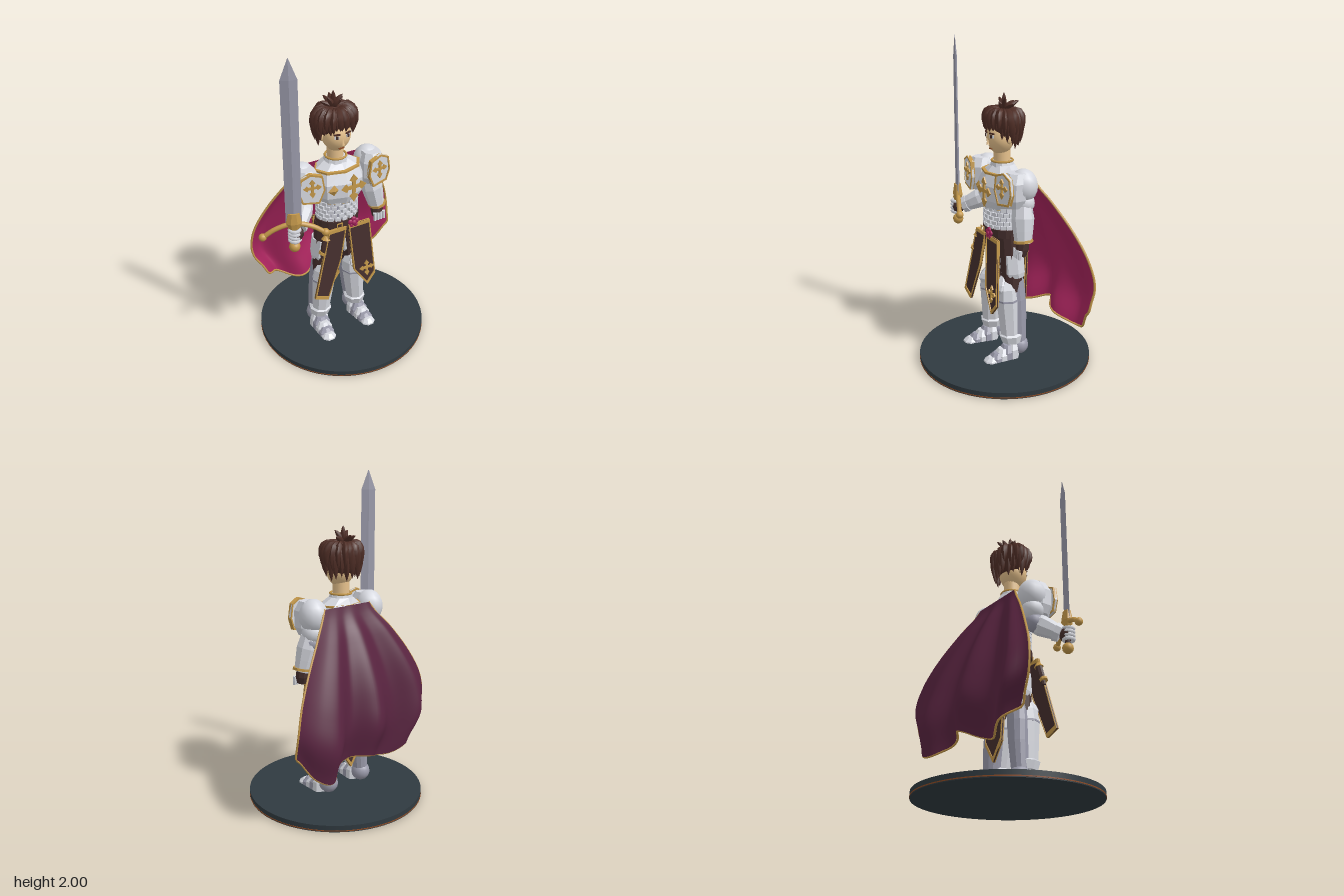
import * as THREE from 'three';

const mat = (name, color) => Object.assign(new THREE.MeshStandardMaterial({ color }), { name });
const M = {
  armour: mat('white armour', 0xd6d8df), steel: mat('grey steel', 0x9a9aaa), gold: mat('gold', 0xc4984a),
  leather: mat('dark leather', 0x452f2d), hair: mat('brown hair', 0x4e2d25), skin: mat('skin', 0xe6c18c),
  outer: mat('cape outside', 0x592440), lining: mat('crimson lining', 0xa6245c),
  slate: mat('slate base', 0x303a40), copper: mat('copper rim', 0x8a4a24),
};
const V = (x, y, z) => new THREE.Vector3(x, y, z);
const CX = -0.018; // body centre line

export function createModel() {
  const root = new THREE.Group();
  root.name = 'knight';
  const add = (name, geo, m, x = 0, y = 0, z = 0, parent = root) => {
    const mesh = new THREE.Mesh(geo, m);
    mesh.name = name;
    mesh.position.set(x, y, z);
    parent.add(mesh);
    return mesh;
  };
  const ball = (name, m, x, y, z, r, sx = 1, sy = 1, sz = 1, seg = 14) => {
    const b = add(name, new THREE.SphereGeometry(r, seg, Math.ceil(seg * 0.7)), m, x, y, z);
    b.scale.set(sx, sy, sz);
    return b;
  };
  // Faceted solid through rings [x, y, z, rx, rz], listed from bottom to top
  const loft = (rings, n = 8, turn = 0) => {
    const pos = [], idx = [];
    for (const [x, y, z, rx, rz] of rings) for (let i = 0; i < n; i++) {
      const a = ((i + turn) / n) * Math.PI * 2;
      pos.push(x + rx * Math.sin(a), y, z + rz * Math.cos(a));
    }
    const last = rings.length - 1;
    for (let j = 0; j < last; j++) for (let i = 0; i < n; i++) {
      const a = j * n + i, b = j * n + (i + 1) % n;
      idx.push(a, b, b + n, a, b + n, a + n);
    }
    for (let i = 1; i < n - 1; i++) idx.push(0, i + 1, i, last * n, last * n + i, last * n + i + 1);
    const g = new THREE.BufferGeometry();
    g.setAttribute('position', new THREE.Float32BufferAttribute(pos, 3));
    g.setIndex(idx);
    const flat = g.toNonIndexed();
    flat.computeVertexNormals();
    return flat;
  };
  // Limb segment from a to b with evenly spaced radii
  const limb = (name, m, a, b, radii, n = 8) => {
    const d = b.clone().sub(a), len = d.length();
    const mesh = add(name, loft(radii.map((r, i) => [0, (len * i) / (radii.length - 1), 0, r, r]), n, 0.5), m, a.x, a.y, a.z);
    mesh.quaternion.setFromUnitVectors(V(0, 1, 0), d.normalize());
  };
  const polygon = pts => new THREE.Shape(pts.map(p => new THREE.Vector2(...p)));
  const slab = (shape, depth) => new THREE.ExtrudeGeometry(shape, { depth, bevelEnabled: false });
  // Plate with a raised gold border
  const plate = (name, m, pts, z, depth, inset = 0.9, parent = root) => {
    add(name, slab(polygon(pts), depth), m, 0, 0, z, parent);
    const c = pts.reduce((s, p) => [s[0] + p[0] / pts.length, s[1] + p[1] / pts.length], [0, 0]);
    const rim = polygon(pts);
    rim.holes.push(new THREE.Path(pts.map(p => new THREE.Vector2(c[0] + (p[0] - c[0]) * inset, c[1] + (p[1] - c[1]) * inset))));
    add(name + 'Border', slab(rim, depth + 0.01), M.gold, 0, 0, z - 0.004, parent);
  };
  // Flared cross ornament
  const cross = (x, y, z, r, parent = root) => {
    const pts = [];
    for (let k = 0; k < 4; k++) for (const [s, t] of [[0.13, 0.13], [0.12, 0.45], [0.32, 0.58], [0, 1], [-0.32, 0.58], [-0.12, 0.45]]) {
      const a = (k * Math.PI) / 2, u = k === 2 ? t * 1.2 : t;
      pts.push([r * (s * Math.cos(a) - u * Math.sin(a)), r * (s * Math.sin(a) + u * Math.cos(a))]);
    }
    add('crossOrnament', slab(polygon(pts.reverse()), 0.009), M.gold, x, y, z, parent);
    ball('ornamentBoss', M.gold, x, y, z + 0.01, r * 0.22, 1, 1, 0.6, 8).removeFromParent();
  };
  // Tapered strand along a curve
  const lock = (pts, r) => {
    const curve = new THREE.CatmullRomCurve3(pts), n = 8, sides = 6;
    const g = new THREE.TubeGeometry(curve, n, r, sides), p = g.attributes.position, v = V();
    for (let i = 0; i < p.count; i++) {
      const t = Math.floor(i / (sides + 1)) / n, c = curve.getPointAt(t);
      v.fromBufferAttribute(p, i).sub(c).multiplyScalar(0.03 + 0.97 * Math.pow(Math.sin(Math.PI * Math.pow(t, 0.8)), 0.7)).add(c);
      p.setXYZ(i, v.x, v.y, v.z);
    }
    g.computeVertexNormals();
    add('hairLock', g, M.hair);
  };

  // Round base
  add('base', new THREE.CylinderGeometry(0.544, 0.544, 0.04, 72), M.slate, 0.018, 0.025, 0);
  add('baseRim', new THREE.CylinderGeometry(0.546, 0.546, 0.006, 72), M.copper, 0.018, 0.013, 0);

  // Legs and boots
  for (const s of [-1, 1]) {
    const lx = y => CX + s * (0.145 - y * 0.085);
    const ring = (y, z, rx, rz) => [lx(y), y, z, rx, rz];
    add('trouserLeg', loft([ring(0.48, -0.015, 0.06, 0.065), ring(0.85, -0.01, 0.072, 0.075)], 10), M.leather);
    add('thighPlate', loft([ring(0.57, -0.03, 0.07, 0.07), ring(0.6, -0.025, 0.078, 0.08), ring(0.72, -0.02, 0.075, 0.08)]), M.armour);
    add('calf', loft([ring(0.14, -0.045, 0.05, 0.05), ring(0.3, -0.045, 0.06, 0.058), ring(0.42, -0.04, 0.065, 0.062), ring(0.54, -0.035, 0.058, 0.06)], 12), M.steel);
    add('greave', loft([ring(0.17, 0.01, 0.056, 0.06), ring(0.3, 0.015, 0.066, 0.068), ring(0.42, 0.02, 0.075, 0.075), ring(0.5, 0.02, 0.068, 0.07), ring(0.55, 0.015, 0.045, 0.05)]), M.armour);
    add('kneePlate', loft([ring(0.44, 0.05, 0.02, 0.03), ring(0.5, 0.055, 0.05, 0.055), ring(0.53, 0.05, 0.045, 0.045), ring(0.58, 0.03, 0.015, 0.03)], 6), M.armour);
    add('greaveEdge', loft([ring(0.42, 0.02, 0.077, 0.077), ring(0.432, 0.02, 0.077, 0.077)]), M.steel);
    add('ankleCuff', loft([ring(0.14, 0, 0.06, 0.065), ring(0.19, 0.005, 0.073, 0.078), ring(0.2, 0.005, 0.06, 0.065)]), M.armour);
    ball('heel', M.steel, lx(0.1), 0.105, -0.05, 0.06);
    for (let i = 0; i < 5; i++) {
      const h = 0.15 - i * 0.019, z = 0.01 + i * 0.036, w = 0.066 - i * 0.004, x = lx(0.05) + s * i * 0.002;
      add('sabatonPlate', loft([[x, 0.045, z, w, 0.048], [x, h * 0.65 + 0.005, z, w * 0.95, 0.045], [x, h, z - 0.01, w * 0.5, 0.028]], 8, 0.5), i % 2 ? M.steel : M.armour);
    }
  }

  // Hips, belt, chain mail and chest
  add('hips', loft([[CX, 0.72, -0.01, 0.12, 0.085], [CX, 0.86, 0, 0.135, 0.1]], 12), M.leather);
  add('belt', loft([[CX, 0.83, 0, 0.142, 0.11], [CX, 0.88, 0, 0.142, 0.11]], 16), M.leather);
  add('waist', loft([[CX, 0.87, 0, 0.122, 0.09], [CX, 1.03, 0, 0.13, 0.095]], 16), M.steel);
  for (let r = 0; r < 5; r++) for (let i = 0; i < 18; i++) {
    const a = ((i + (r % 2) / 2) / 18) * Math.PI * 2;
    add('mailLink', new THREE.BoxGeometry(0.032, 0.022, 0.018), M.armour, CX + 0.128 * Math.sin(a), 0.893 + r * 0.027, 0.098 * Math.cos(a)).rotation.y = a;
  }
  add('breastplate', loft([[CX, 1.0, 0.01, 0.125, 0.1], [CX, 1.06, 0.015, 0.168, 0.12], [CX, 1.15, 0.015, 0.172, 0.122], [CX, 1.22, 0.0, 0.15, 0.1], [CX, 1.265, -0.01, 0.075, 0.07]]), M.armour);
  for (const [y, rx, rz] of [[1.008, 0.133, 0.106], [1.215, 0.155, 0.106]])
    add('chestTrim', loft([[CX, y, 0.008, rx, rz], [CX, y + 0.012, 0.008, rx, rz]]), M.gold);
  cross(0.02, 1.125, 0.135, 0.085);
  add('diamondStud', new THREE.OctahedronGeometry(0.04), M.gold, -0.1, 1.12, 0.115).scale.set(1, 0.9, 0.4);
  add('buckle', new THREE.TorusGeometry(0.024, 0.006, 4, 4, Math.PI * 2).rotateZ(Math.PI / 4), M.gold, -0.06, 0.855, 0.113);
  // Rosette on the belt
  ball('rosetteHeart', M.lining, 0.035, 0.855, 0.12, 0.018, 1, 1, 0.7, 8);
  for (let i = 0; i < 5; i++) {
    const a = (i * Math.PI * 2) / 5 + 0.3;
    ball('rosettePetal', M.lining, 0.035 + 0.023 * Math.cos(a), 0.855 + 0.023 * Math.sin(a), 0.115, 0.017, 1, 1, 0.6, 8);
  }
  // Collar and neck
  add('neck', new THREE.CylinderGeometry(0.05, 0.052, 0.14, 16), M.skin, -0.025, 1.29, -0.005);
  add('collar', loft([[-0.022, 1.235, -0.005, 0.085, 0.075], [-0.022, 1.285, -0.005, 0.066, 0.066]], 12), M.armour);
  add('collarTrim', new THREE.TorusGeometry(0.064, 0.007, 6, 20).rotateX(Math.PI / 2), M.gold, -0.022, 1.286, -0.005);

  // Skirt panels and dagger
  const skirt = new THREE.Group();
  skirt.name = 'frontSkirt';
  skirt.position.set(0, 0.84, 0.105);
  skirt.rotation.x = -0.07;
  root.add(skirt);
  plate('skirtPanelRight', M.leather, [[-0.255, -0.455], [-0.165, -0.49], [-0.06, -0.22], [-0.015, 0], [-0.135, 0]], 0, 0.009, 0.91, skirt);
  plate('skirtPanelLeft', M.leather, [[0.03, -0.34], [0.125, -0.48], [0.185, -0.41], [0.15, 0], [0.0, 0]], 0, 0.009, 0.91, skirt);
  cross(0.12, -0.345, 0.012, 0.052, skirt);
  plate('skirtPanelBack', M.leather, [[-0.08, 0.31], [-0.005, 0.2], [0.07, 0.31], [0.1, 0.82], [-0.13, 0.82]], -0.122, 0.009, 0.91);
  limb('daggerSheath', M.leather, V(-0.18, 0.66, 0.11), V(-0.15, 0.78, 0.1), [0.014, 0.022, 0.022]);
  limb('daggerHilt', M.gold, V(-0.15, 0.78, 0.1), V(-0.14, 0.83, 0.095), [0.03, 0.012, 0.018]);
  limb('sheathTip', M.gold, V(-0.185, 0.685, 0.11), V(-0.176, 0.7, 0.11), [0.024, 0.026]);

  // Shoulders
  for (const s of [-1, 1]) {
    const x = CX + s * 0.225;
    ball('shoulderCap', M.armour, x, 1.18, -0.02, 0.088, 1, 1.15, 1);
    ball('upperArmCap', M.armour, x + s * 0.005, 1.08, -0.02, 0.068);
    add('pauldron', loft([[x, 1.06, 0.03, 0.055, 0.06], [x, 1.11, 0.035, 0.078, 0.08], [x, 1.21, 0.035, 0.08, 0.08], [x, 1.265, 0.02, 0.055, 0.06]], 8, 0.5), M.armour);
    const g = new THREE.Group();
    g.name = 'pauldronFace';
    g.position.set(x, 1.175, 0.1);
    g.rotation.y = s * 0.15;
    root.add(g);
    plate('pauldronPlate', M.armour, [[-0.045 * s, -0.105], [0.06 * s, -0.09], [0.085 * s, -0.02], [0.07 * s, 0.07], [0.01 * s, 0.1], [-0.065 * s, 0.075], [-0.08 * s, -0.02]], 0, 0.015, 0.88, g);
    cross(0, 0.01, 0.018, 0.055, g);
  }

  // Hanging left arm
  ball('elbowLeft', M.steel, 0.225, 1.02, -0.02, 0.055);
  limb('vambraceLeft', M.armour, V(0.268, 0.85, 0.01), V(0.222, 1.06, -0.01), [0.05, 0.06, 0.068, 0.058]);
  limb('cuffLeft', M.gold, V(0.272, 0.855, 0.01), V(0.269, 0.87, 0.01), [0.058, 0.058]);
  limb('palmLeft', M.leather, V(0.265, 0.775, 0.02), V(0.268, 0.86, 0.012), [0.03, 0.04, 0.035]);
  for (let i = 0; i < 4; i++) {
    limb('fingerLeft', M.armour, V(0.235 + i * 0.021, 0.762, 0.05), V(0.235 + i * 0.021, 0.815, 0.045), [0.01, 0.012, 0.012], 6);
  }
  // Raised right arm
  ball('elbowRight', M.steel, -0.25, 1.0, -0.01, 0.058);
  limb('vambraceRight', M.armour, V(-0.335, 0.935, 0.1), V(-0.235, 1.01, -0.01), [0.045, 0.056, 0.064, 0.055]);
  limb('cuffRight', M.armour, V(-0.34, 0.93, 0.11), V(-0.32, 0.945, 0.085), [0.052, 0.058]);
  ball('fistRight', M.leather, -0.365, 0.92, 0.135, 0.046, 1, 1, 0.9, 10);
  for (let i = 0; i < 4; i++)
    add('fingerRight', new THREE.TorusGeometry(0.03, 0.012, 5, 10).rotateX(Math.PI / 2), M.armour, -0.378, 0.885 + i * 0.023, 0.14);

  // Sword
  const sword = new THREE.Group();
  sword.name = 'sword';
  sword.position.set(-0.377, 0, 0.132);
  sword.rotation.y = -0.37;
  root.add(sword);
  add('blade', loft([[0, 1.0, 0, 0.047, 0.013], [0, 1.88, 0, 0.047, 0.011], [0, 2, 0, 0.001, 0.001]], 4), M.steel, 0, 0, 0, sword);
  add('guard', new THREE.TubeGeometry(new THREE.CatmullRomCurve3([V(-0.185, 0.912, 0), V(-0.11, 0.962, 0), V(0, 0.992, 0), V(0.11, 0.962, 0), V(0.185, 0.912, 0)]), 20, 0.015, 8), M.gold, 0, 0, 0, sword);
  for (const s of [-1, 1]) add('guardKnob', new THREE.SphereGeometry(0.024, 12, 8), M.gold, s * 0.184, 0.914, 0, sword);
  add('guardBlock', loft([[0, 0.96, 0, 0.035, 0.025], [0, 1.0, 0, 0.05, 0.032], [0, 1.065, 0, 0.036, 0.022]], 8, 0.5), M.gold, 0, 0, 0, sword);
  add('grip', new THREE.CylinderGeometry(0.016, 0.016, 0.14, 10), M.leather, 0, 0.91, 0, sword);
  add('pommel', new THREE.SphereGeometry(0.034, 14, 10), M.gold, 0, 0.83, 0, sword);

  // Head and face
  const head = new THREE.SphereGeometry(1, 24, 18), hp = head.attributes.position;
  for (let i = 0; i < hp.count; i++) {
    const t = Math.min(0, hp.getY(i)), k = 1 - 0.3 * t * t;
    hp.setXYZ(i, hp.getX(i) * k * 0.088, hp.getY(i) * 0.11, hp.getZ(i) * k * 0.085);
  }
  head.computeVertexNormals();
  add('head', head, M.skin, -0.025, 1.425, 0.005);
  add('nose', new THREE.ConeGeometry(0.012, 0.04, 4), M.skin, -0.025, 1.41, 0.089);
  add('mouth', new THREE.BoxGeometry(0.034, 0.007, 0.008), M.copper, -0.025, 1.363, 0.071);
  for (const s of [-1, 1]) {
    const x = -0.025 + s * 0.036;
    add('eyeWhite', new THREE.BoxGeometry(0.03, 0.017, 0.008), M.armour, x, 1.442, 0.081).rotation.y = s * 0.35;
    add('iris', new THREE.BoxGeometry(0.014, 0.018, 0.008), M.leather, x, 1.442, 0.084).rotation.y = s * 0.35;
    add('eyebrow', new THREE.BoxGeometry(0.038, 0.008, 0.009), M.hair, x, 1.46, 0.082).rotation.y = s * 0.35;
    ball('ear', M.skin, -0.025 + s * 0.09, 1.425, -0.005, 0.022, 0.5, 1.2, 0.8, 8);
  }
  // Hair
  ball('hairCap', M.hair, -0.025, 1.495, -0.02, 0.105, 1.05, 1, 0.9, 18);
  for (let layer = 0; layer < 2; layer++) for (let i = 0; i < 20; i++) {
    const a = ((i + layer / 2) / 20) * Math.PI * 2, sx = Math.sin(a), cz = Math.cos(a);
    const front = Math.max(0, cz), w = layer * 0.012 + (i % 3) * 0.006;
    const end = (layer ? 1.43 : 1.37) + front * (layer ? 0.04 : 0.1) + (i % 3) * 0.014;
    lock([V(-0.025 + sx * 0.02, 1.59, -0.015 + cz * 0.02), V(-0.025 + sx * (0.09 + w), 1.575, -0.012 + cz * (0.07 + w)),
      V(-0.025 + sx * (0.115 + w), 1.5, -0.01 + cz * (0.087 + w)), V(-0.025 + sx * (0.108 + w), end, -0.01 + cz * (0.087 + w))], 0.024);
  }
  // Tuft on the crown
  for (const [x, y, z] of [[0, 0.11, 0], [0.05, 0.085, 0.02], [-0.045, 0.08, 0.01], [0.075, 0.05, -0.02], [-0.07, 0.045, -0.03], [0.02, 0.06, -0.09], [-0.025, 0.055, -0.08], [0.01, 0.06, 0.04]])
    lock([V(-0.028, 1.58, -0.02), V(-0.028 + x * 0.45, 1.58 + y * 0.6, -0.02 + z * 0.5), V(-0.028 + x, 1.58 + y, -0.02 + z)], 0.017);

  // Cape, with edges, drop and folds given by short splines
  const spline = vals => {
    const c = new THREE.SplineCurve(vals.map((v, i) => new THREE.Vector2(i, v)));
    return t => c.getPoint(t).y;
  };
  const left = spline([-0.17, -0.3, -0.41, -0.485, -0.49, -0.4]), right = spline([0.18, 0.3, 0.42, 0.51, 0.555, 0.55]);
  const depth = spline([-0.095, -0.175, -0.245, -0.295, -0.318, -0.285]), amp = spline([0, 0.014, 0.028, 0.042, 0.055, 0.05]);
  const hem = spline([0.4, 0.33, 0.28, 0.3, 0.35, 0.36, 0.31, 0.27, 0.32, 0.46]);
  const folds = [[0, 1.2], [0.1, -0.4], [0.28, 1], [0.46, -0.9], [0.62, 0.7], [0.79, -1.2], [1, 0.1]];
  const wave = u => {
    const i = Math.max(1, folds.findIndex(f => f[0] >= u)), [a, b] = [folds[i - 1], folds[i]];
    return THREE.MathUtils.lerp(a[1], b[1], THREE.MathUtils.smoothstep(u, a[0], b[0]));
  };
  const capePoint = (u, v) => V(THREE.MathUtils.lerp(left(v), right(v), u), THREE.MathUtils.lerp(1.225, hem(u), v), depth(v) + amp(v) * wave(u));
  const capeSide = (name, m, flip, dz) => {
    const g = new THREE.PlaneGeometry(1, 1, 60, 30), p = g.attributes.position;
    for (let i = 0; i < p.count; i++) {
      const u = THREE.MathUtils.clamp(p.getX(i) + 0.5, 0, 1), c = capePoint(flip ? 1 - u : u, THREE.MathUtils.clamp(0.5 - p.getY(i), 0, 1));
      p.setXYZ(i, c.x, c.y, c.z + dz);
    }
    g.computeVertexNormals();
    add(name, g, m);
  };
  capeSide('capeLining', M.lining, false, 0.004);
  capeSide('capeOutside', M.outer, true, -0.004);
  const edge = [];
  for (let i = 0; i <= 12; i++) edge.push(capePoint(0, i / 12));
  for (let i = 1; i < 30; i++) edge.push(capePoint(i / 30, 1));
  for (let i = 12; i >= 0; i--) edge.push(capePoint(1, i / 12));
  for (const p of edge) p.z += 0.004;
  add('capeTrim', new THREE.TubeGeometry(new THREE.CatmullRomCurve3(edge), 140, 0.007, 6), M.gold);
  return root;
}
